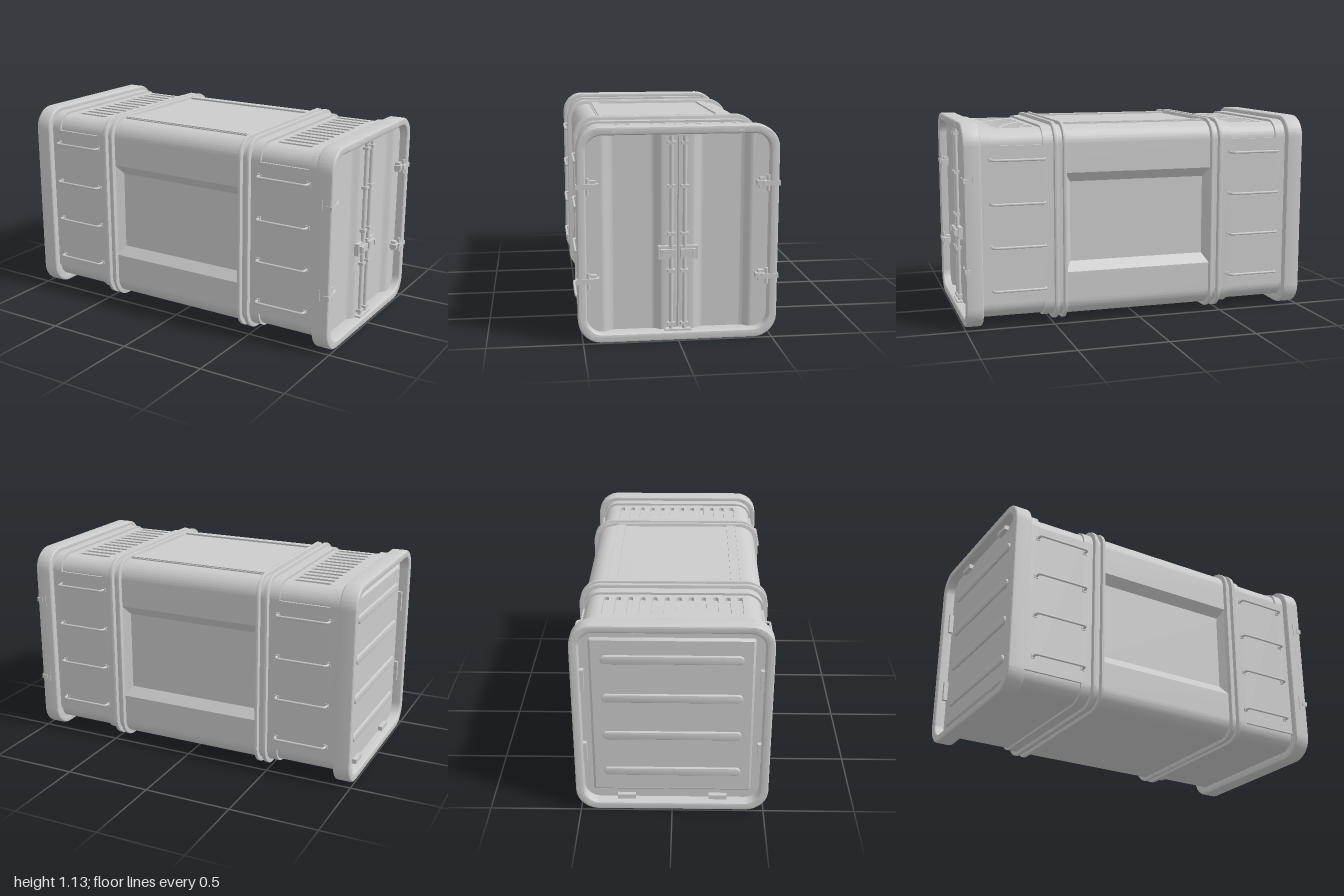
import * as THREE from 'three';
import { toCreasedNormals } from 'three/addons/utils/BufferGeometryUtils.js';

const mat = new THREE.MeshStandardMaterial({ color: 0xcccccc });
const R = 0.1, TOP = 1.11, BOTTOM = 0.035, HALF = 0.49;

function add(parent, name, geometry) {
  const mesh = new THREE.Mesh(geometry, mat);
  mesh.name = name;
  parent.add(mesh);
  return mesh;
}

// Box given by its min and max on each axis
function box(parent, name, x0, x1, y0, y1, z0, z1) {
  const g = new THREE.BoxGeometry(x1 - x0, y1 - y0, z1 - z0);
  g.translate((x0 + x1) / 2, (y0 + y1) / 2, (z0 + z1) / 2);
  return add(parent, name, g);
}

function roundRect(w, y0, y1, r, Type = THREE.Shape) {
  const s = new Type();
  s.moveTo(w, y0 + r);
  s.absarc(w - r, y1 - r, r, 0, Math.PI / 2);
  s.absarc(-w + r, y1 - r, r, Math.PI / 2, Math.PI);
  s.absarc(-w + r, y0 + r, r, Math.PI, Math.PI * 1.5);
  s.absarc(w - r, y0 + r, r, Math.PI * 1.5, Math.PI * 2);
  return s;
}

function extrude(shape, depth, bevel = 0, segments = 2) {
  return new THREE.ExtrudeGeometry(shape, {
    depth: depth - 2 * bevel, curveSegments: 12, bevelEnabled: bevel > 0,
    bevelSize: bevel, bevelThickness: bevel, bevelOffset: -bevel, bevelSegments: segments,
  }).translate(0, 0, bevel);
}

// Cross-section in the z-y plane swept from x0 to x1
function sweep(parent, name, shape, x0, x1, bevel = 0, segments = 2) {
  const g = extrude(shape, x1 - x0, bevel, segments).rotateY(Math.PI / 2).translate(x0, 0, 0);
  return add(parent, name, toCreasedNormals(g, 0.5));
}

// Body section: corners can be inset, the top can hold a trough, the sides a shallow recess
function bodySection({ top = 0, bottom = 0, trough = 0, recess = 0 }) {
  const s = new THREE.Shape(), c = HALF - R, yt = TOP - R, yb = BOTTOM + R;
  const side = (sign) => {
    const pts = [[HALF, 0.29], [HALF - recess, 0.345], [HALF - recess, 0.797], [HALF, 0.85]];
    if (recess) (sign > 0 ? pts : pts.reverse()).forEach(([z, y]) => s.lineTo(sign * z, y));
  };
  s.moveTo(HALF, yb);
  side(1);
  s.lineTo(HALF, yt);
  s.absarc(c, yt, R - top, 0, Math.PI / 2);
  if (trough) {
    s.lineTo(c - 0.004, TOP - trough);
    s.lineTo(-c + 0.004, TOP - trough);
  }
  s.absarc(-c, yt, R - top, Math.PI / 2, Math.PI);
  if (top) s.lineTo(-HALF, yt);
  side(-1);
  if (bottom) s.lineTo(-HALF, yb);
  s.absarc(-c, yb, R - bottom, Math.PI, Math.PI * 1.5);
  s.absarc(c, yb, R - bottom, Math.PI * 1.5, Math.PI * 2);
  return s;
}

function capsule(Type, x0, x1, y, r) {
  const s = new Type();
  s.absarc(x1 - r, y, r, -Math.PI / 2, Math.PI / 2);
  s.absarc(x0 + r, y, r, Math.PI / 2, Math.PI * 1.5);
  s.closePath();
  return s;
}

// One end of the body, built on +x
function endSection() {
  const g = new THREE.Group();
  const inset = 0.012;
  sweep(g, 'bodyInner', bodySection({}), 0.43, 0.555);
  sweep(g, 'bodyPanel', bodySection({ top: inset, bottom: inset, trough: 0.03 }), 0.555, 0.84);
  sweep(g, 'bodyOuter', bodySection({ bottom: inset }), 0.84, 0.905);

  // Slotted vent plate on top
  const plate = new THREE.Shape([[0.555, -0.39], [0.84, -0.39], [0.84, 0.39], [0.555, 0.39]]
    .map(([x, y]) => new THREE.Vector2(x, y)));
  for (let i = 0; i < 12; i++) {
    plate.holes.push(capsule(THREE.Path, 0.585, 0.797, -0.358 + i * 0.065, 0.014));
  }
  const vent = extrude(plate, 0.02).rotateX(-Math.PI / 2).translate(0, TOP - inset - 0.02, 0);
  add(g, 'ventPlate', toCreasedNormals(vent, 0.5));

  // Double reinforcing band
  for (const [x0, x1] of [[0.427, 0.446], [0.474, 0.497]]) {
    sweep(g, 'band', roundRect(0.517, 0.013, 1.13, 0.12), x0, x1, 0.004);
  }

  // End frame with rounded edges
  const rim = roundRect(0.525, 0, 1.135, 0.125);
  rim.holes.push(roundRect(0.478, 0.048, 1.09, 0.085, THREE.Path));
  sweep(g, 'endFrame', rim, 0.9, 0.998, 0.012, 3);

  // Grab bars on both long sides
  for (const sign of [1, -1]) {
    for (const y of [0.215, 0.457, 0.695, 0.935]) {
      const path = new THREE.CurvePath();
      const p = [[0.55, 0.48], [0.55, 0.51], [0.57, 0.528], [0.825, 0.528], [0.845, 0.51], [0.845, 0.48]]
        .map(([x, z]) => new THREE.Vector3(x, y, z * sign));
      path.add(new THREE.LineCurve3(p[0], p[1]));
      path.add(new THREE.QuadraticBezierCurve3(p[1], new THREE.Vector3(0.55, y, 0.528 * sign), p[2]));
      path.add(new THREE.LineCurve3(p[2], p[3]));
      path.add(new THREE.QuadraticBezierCurve3(p[3], new THREE.Vector3(0.845, y, 0.528 * sign), p[4]));
      path.add(new THREE.LineCurve3(p[4], p[5]));
      add(g, 'grabBar', new THREE.TubeGeometry(path, 48, 0.007, 8));
      for (const x of [0.55, 0.845]) {
        box(g, 'grabBarFoot', x - 0.011, x + 0.011, y - 0.011, y + 0.011, sign * 0.49 - 0.006, sign * 0.49 + 0.006);
      }
    }
  }
  return g;
}

function doorEnd() {
  const g = new THREE.Group();
  g.name = 'doorEnd';
  // Pair of doors with softly sunken panels and a gap between them
  const step = (a, b, v) => THREE.MathUtils.smoothstep(v, a, b);
  const pts = [new THREE.Vector2(0.9, 0.485), new THREE.Vector2(0.9, -0.485)];
  for (let i = -97; i <= 97; i++) {
    const z = i * 0.005, a = Math.abs(z);
    const sunk = Math.abs(i) < 1 ? 0.02 : 0.03 * (step(0.075, 0.135, a) - step(0.335, 0.395, a));
    pts.push(new THREE.Vector2(0.95 - sunk, z));
  }
  const doors = extrude(new THREE.Shape(pts), 1.05).rotateX(-Math.PI / 2).translate(0, 0.044, 0);
  add(g, 'doors', toCreasedNormals(doors, 0.5));
  box(g, 'topKeeper', 0.94, 0.985, 1.083, 1.1, -0.062, 0.062);
  box(g, 'bottomKeeper', 0.94, 0.985, 0.04, 0.058, -0.07, 0.07);

  for (const s of [1, -1]) {
    const part = (name, x0, x1, y0, y1, z0, z1) =>
      box(g, name, x0, x1, y0, y1, Math.min(s * z0, s * z1), Math.max(s * z0, s * z1));
    // Locking rod with its guides
    add(g, 'lockRod', new THREE.CylinderGeometry(0.011, 0.011, 1.04, 12).translate(0.965, 0.568, s * 0.035));
    for (const y of [0.084, 0.372, 0.57, 0.82, 1.045]) {
      part('rodGuide', 0.945, 0.981, y - 0.008, y + 0.008, 0.015, 0.055);
    }
    // Latch box and its handle
    part('latchPlate', 0.945, 0.972, 0.435, 0.505, 0.012, 0.104);
    part('latchHandle', 0.97, 0.987, 0.45, 0.49, 0.012, 0.092);
    part('latchGrip', 0.985, 0.994, 0.455, 0.485, 0.074, 0.086);
    // Hinges reaching around the frame
    for (const y of [0.335, 0.83]) {
      part('hingeLeaf', 0.94, 0.978, y - 0.028, y + 0.028, 0.425, 0.455);
      part('hingeKnuckle', 0.945, 0.99, y - 0.013, y + 0.013, 0.41, 0.445);
      part('hingeArm', 0.966, 1, y - 0.013, y + 0.013, 0.44, 0.53);
      part('hingeMount', 0.94, 0.947, y - 0.04, y + 0.04, 0.518, 0.529);
      add(g, 'hingePin', new THREE.CylinderGeometry(0.009, 0.009, 0.085, 10).translate(0.985, y, s * 0.468));
    }
    part('frameMarker', 0.99, 1, 1.104, 1.112, 0.225, 0.335);
  }
  return g;
}

// Closed end, built on +x and turned to face -x
function closedEnd() {
  const g = new THREE.Group();
  g.name = 'closedEnd';
  box(g, 'endWall', 0.9, 0.94, 0.044, 1.094, -0.483, 0.483);
  sweep(g, 'endPanel', roundRect(0.43, 0.1, 1.04, 0.015), 0.92, 0.955, 0.012, 1);
  for (const y of [0.23, 0.46, 0.69, 0.92]) {
    sweep(g, 'endRib', capsule(THREE.Shape, -0.37, 0.37, y, 0.025), 0.945, 0.967, 0.008, 3);
  }
  for (const s of [1, -1]) {
    for (const y of [0.06, 1.078]) {
      box(g, 'wallLug', 0.93, 0.965, y - 0.014, y + 0.014, s * 0.25 - 0.05, s * 0.25 + 0.05);
    }
    for (const y of [0.35, 0.8]) {
      box(g, 'wallLug', 0.93, 0.965, y - 0.06, y + 0.06, s * 0.47 - 0.012, s * 0.47 + 0.012);
    }
  }
  return g;
}

export function createModel() {
  const model = new THREE.Group();
  model.name = 'container';

  // Middle body with sunken side panels
  const depth = 0.04;
  sweep(model, 'middleBody', bodySection({ recess: depth }), -0.43, 0.43);
  for (const sx of [1, -1]) {
    for (const sz of [1, -1]) {
      const wedge = new THREE.Shape([[0.43, HALF], [0.43, HALF - depth - 0.01], [0.395, HALF - depth - 0.01], [0.395, HALF - depth]]
        .map(([x, z]) => new THREE.Vector2(x * sx, -z * sz)));
      add(model, 'panelBevel', extrude(wedge, 0.56).rotateX(-Math.PI / 2).translate(0, 0.29, 0));
    }
    // Roof rails
    box(model, 'roofRail', -0.43, 0.43, 1.1, 1.12, sx * 0.34 - 0.025, sx * 0.34 + 0.025);
    box(model, 'roofRailLip', -0.43, 0.43, 1.1, 1.116, sx * 0.372 - 0.004, sx * 0.372 + 0.004);
  }

  // Two matching ends
  const right = endSection(), left = endSection();
  right.name = 'doorSideBody';
  left.name = 'closedSideBody';
  left.rotation.y = Math.PI;
  const closed = closedEnd();
  closed.rotation.y = Math.PI;
  model.add(right, left, doorEnd(), closed);
  model.scale.setScalar(1);
  return model;
}
